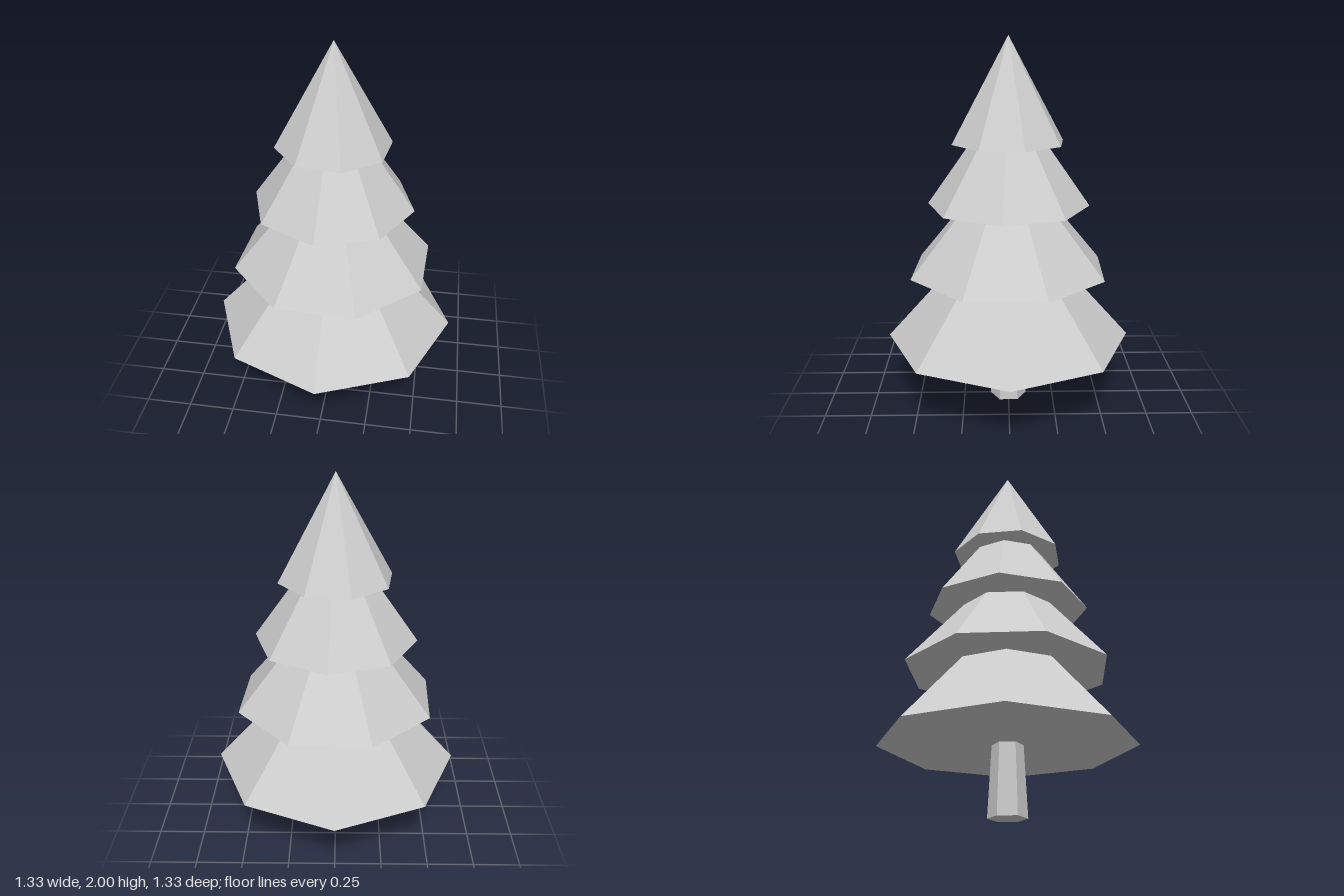
import * as THREE from 'three';

export function createModel() {
  const tree = new THREE.Group();
  tree.name = 'pineTree';
  const grey = new THREE.MeshStandardMaterial({ color: 0xcccccc });
  grey.name = 'lightGrey';

  function addPart(name, geometry, bottom, height, turn = 0) {
    // unshared corners give crisp, flat facets
    const flat = geometry.toNonIndexed();
    flat.computeVertexNormals();
    const mesh = new THREE.Mesh(flat, grey);
    mesh.name = name;
    mesh.position.y = bottom + height / 2;
    mesh.rotation.y = THREE.MathUtils.degToRad(turn);
    tree.add(mesh);
  }

  // Six-sided tapering trunk
  addPart('trunk', new THREE.CylinderGeometry(0.079, 0.1, 0.4, 6), 0, 0.4);

  // Stacked eight-sided foliage cones, each twisted: radius, bottom, apex, turn in degrees
  const tiers = [
    ['bottomFoliage', 0.667, 0.365, 1.11, 0],
    ['lowerFoliage', 0.55, 0.76, 1.415, -25],
    ['upperFoliage', 0.433, 1.12, 1.735, -4.8],
    ['topFoliage', 0.304, 1.455, 2, -29.8],
  ];
  for (const [name, radius, bottom, apex, turn] of tiers) {
    addPart(name, new THREE.ConeGeometry(radius, apex - bottom, 8), bottom, apex - bottom, turn);
  }
  return tree;
}
